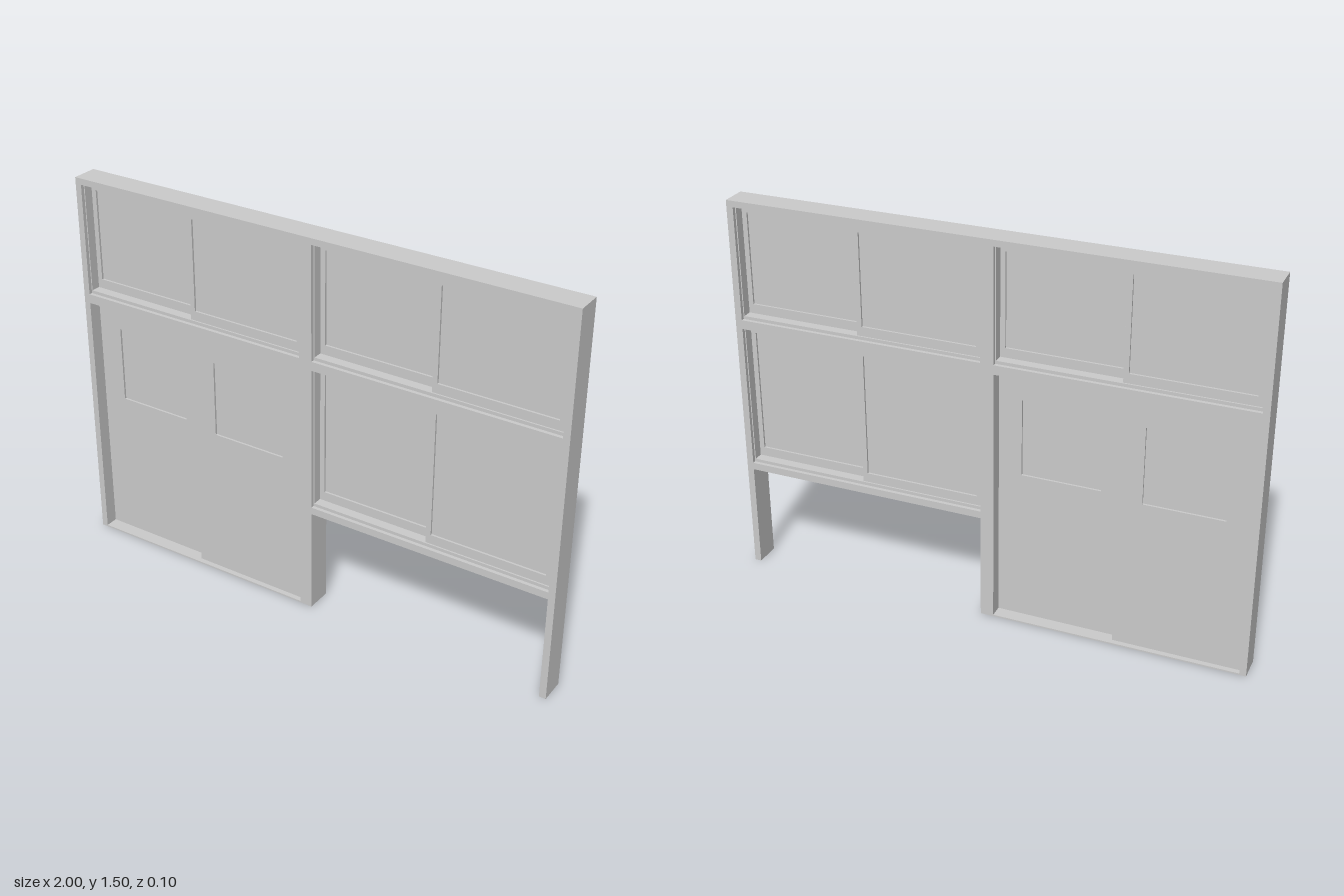
import * as THREE from 'three';

const material = new THREE.MeshStandardMaterial({ color: 0xcccccc, flatShading: true });

// Rectangle given as [x0, y0, x1, y1]
function rectPoints([x0, y0, x1, y1]) {
  return [[x0, y0], [x1, y0], [x1, y1], [x0, y1]].map(([x, y]) => new THREE.Vector2(x, y));
}

// Flat plate with rectangular openings, spanning z0..z1
function plate(name, outline, holes, z0, z1) {
  const shape = new THREE.Shape(outline);
  for (const hole of holes) shape.holes.push(new THREE.Path(rectPoints(hole)));
  const geometry = new THREE.ExtrudeGeometry(shape, { depth: z1 - z0, bevelEnabled: false });
  geometry.translate(0, 0, z0);
  const mesh = new THREE.Mesh(geometry, material);
  mesh.name = name;
  return mesh;
}

// Panel with a pane set back slightly on both faces
function panel(name, rect, pane, z0, z1) {
  const group = new THREE.Group();
  group.name = name;
  const recess = 0.008;
  group.add(
    plate(name + 'Frame', rectPoints(rect), [pane], z0, z1),
    plate(name + 'Pane', rectPoints(pane), [], z0 + recess, z1 - recess)
  );
  return group;
}

const SASH = 0.029;    // sash thickness
const OVERLAP = 0.01;  // how far sliding panels pass the middle

// Pair of sliding sashes in a track lining, the right one in front
function slidingWindow(name, [x0, y0, x1, y1]) {
  const group = new THREE.Group();
  group.name = name;
  const inner = [x0 + 0.004, y0 + 0.012, x1 - 0.004, y1 - 0.004];
  group.add(plate('trackLining', rectPoints([x0, y0, x1, y1]), [inner], -0.036, 0.036));
  const [a, b, c, d] = inner;
  const mid = (a + c) / 2;
  const low = b + 0.036, high = d - 0.028, stile = 0.019;
  const sash = (label, s, e, z) =>
    panel(label, [s, b, e, d], [s + stile, low, e - stile, high], z, z + SASH);
  group.add(sash('leftSash', a, mid + OVERLAP, -SASH - 0.001));
  group.add(sash('rightSash', mid - OVERLAP, c, 0.001));

  // Small crescent latch on the back of the meeting stile
  const latch = new THREE.Mesh(
    new THREE.CylinderGeometry(0.014, 0.014, 0.008, 12, 1, false, 0, Math.PI), material);
  latch.name = 'latch';
  latch.rotation.x = Math.PI / 2;
  latch.position.set(mid + OVERLAP - 0.004, (y0 + y1) / 2 - 0.015, -0.026);
  group.add(latch);
  return group;
}

export function createModel() {
  const model = new THREE.Group();
  model.name = 'wallUnit';

  const door = [-0.975, 0.006, -0.028, 1.005];
  const windows = {
    upperLeftWindow: [-0.975, 1.041, -0.028, 1.476],
    upperRightWindow: [0.023, 1.041, 0.974, 1.476],
    lowerRightWindow: [0.023, 0.444, 0.974, 1.006],
  };

  // Surrounding frame with posts, beams and thin threshold
  const outline = [
    [-1, 0], [0.023, 0], [0.023, 0.416], [0.974, 0.416], [0.974, 0], [1, 0], [1, 1.5], [-1, 1.5],
  ].map(([x, y]) => new THREE.Vector2(x, y));
  model.add(plate('frame', outline, [door, ...Object.values(windows)], -0.05, 0.05));

  // Sliding windows
  for (const [name, rect] of Object.entries(windows)) model.add(slidingWindow(name, rect));

  // Sliding doors, each with a square pane
  const [x0, y0, x1, y1] = door;
  const mid = (x0 + x1) / 2;
  model.add(panel('leftDoor', [x0, y0, mid + OVERLAP, y1], [-0.88, 0.6, -0.58, 0.9], -SASH - 0.001, -0.001));
  model.add(panel('rightDoor', [mid - OVERLAP, y0, x1, y1], [-0.418, 0.6, -0.116, 0.9], 0.001, SASH + 0.001));
  return model;
}
